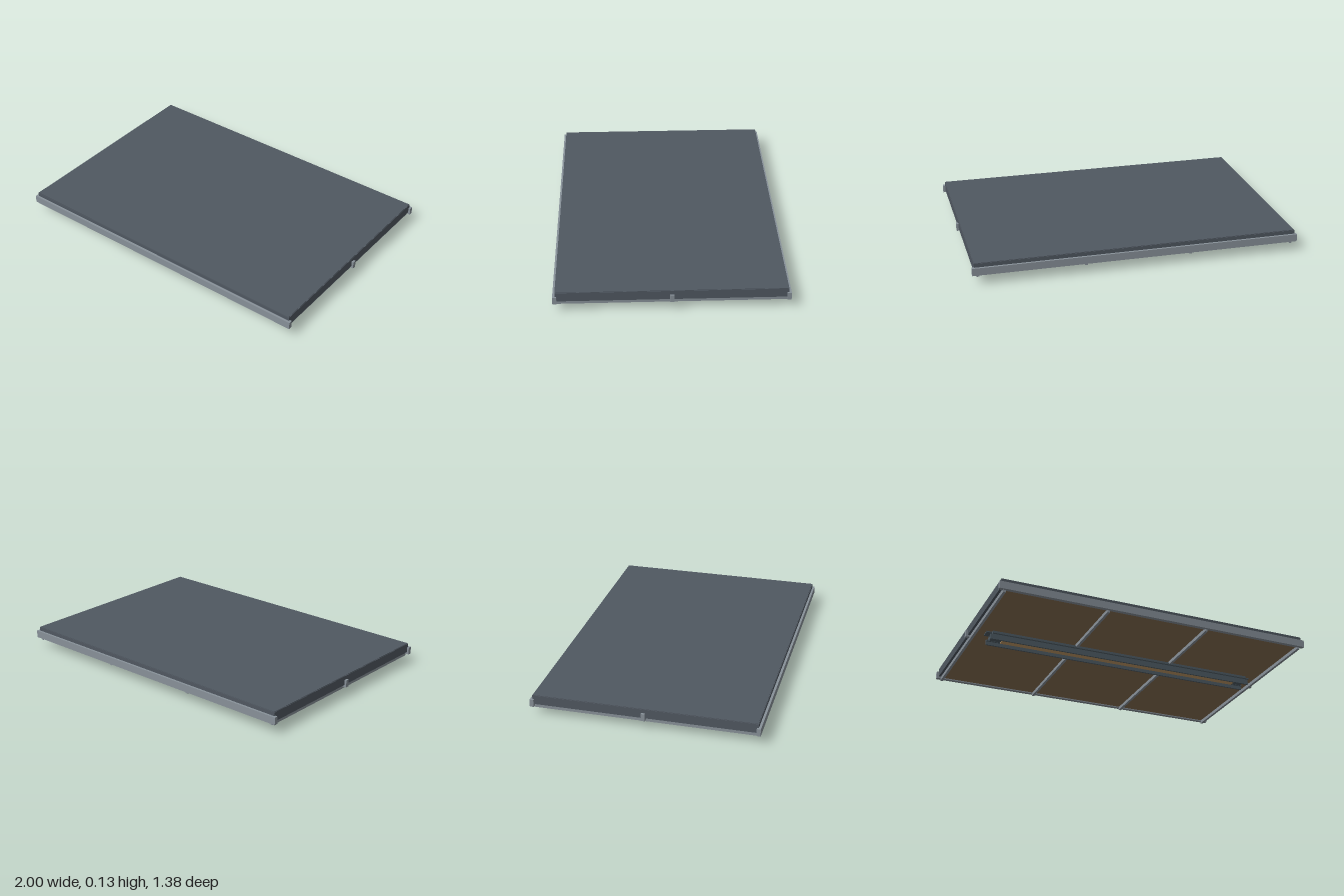
import * as THREE from 'three';

const material = (name, color) => {
  const m = new THREE.MeshStandardMaterial({ color });
  m.name = name;
  return m;
};

export function createModel() {
  const slate = material('dark slate', 0x505861);
  const steel = material('grey steel', 0x889199);
  const trayBlue = material('blue slate', 0x4e5b64);
  const brown = material('brown board', 0x876e52);
  const tan = material('tan strip', 0xc29a66);

  const model = new THREE.Group();
  model.name = 'deckPanel';

  // Box given by its limits on each axis
  const box = (name, mat, [x0, x1], [y0, y1], [z0, z1]) => {
    const mesh = new THREE.Mesh(new THREE.BoxGeometry(x1 - x0, y1 - y0, z1 - z0), mat);
    mesh.position.set((x0 + x1) / 2, (y0 + y1) / 2, (z0 + z1) / 2);
    mesh.name = name;
    model.add(mesh);
    return mesh;
  };

  // Slab with a slightly eased top edge, and the board set into its underside
  const w = 0.987, d = 0.674, ease = 0.003;
  box('slab', slate, [-w, w], [0.073, 0.129], [-d, d]);
  box('slabTop', slate, [-w + ease, w - ease], [0.129, 0.132], [-d + ease, d - ease]);
  box('underside', brown, [-0.965, 0.965], [0.067, 0.073], [-0.668, 0.668]);

  // Long edge rails and the middle clips on the short sides
  for (const s of [-1, 1]) {
    const rail = box('edgeRail', steel, [-1, 1], [0.06, 0.106], [0.664, 0.688]);
    rail.position.z *= s;
    const clip = box('sideClip', steel, [0.975, 1], [0.06, 0.106], [-0.012, 0.012]);
    clip.position.x *= s;
  }

  // Cross bars below the board
  for (const x of [-0.965, -0.322, 0.322, 0.965]) {
    box('crossBar', steel, [x - 0.008, x + 0.008], [0.046, 0.071], [-0.673, 0.673]);
  }

  // Tray: tapered section run along x, off centre towards the front
  const zc = 0.11;
  const section = new THREE.Shape([
    new THREE.Vector2(-0.05, 0.056), new THREE.Vector2(-0.05, 0.042),
    new THREE.Vector2(-0.037, 0.024), new THREE.Vector2(0.037, 0.024),
    new THREE.Vector2(0.05, 0.042), new THREE.Vector2(0.05, 0.056),
  ]);
  const trayGeometry = new THREE.ExtrudeGeometry(section, { depth: 1.74, bevelEnabled: false });
  trayGeometry.translate(0, 0, -0.87).rotateY(Math.PI / 2);
  const tray = new THREE.Mesh(trayGeometry, trayBlue);
  tray.name = 'tray';
  tray.position.z = zc;
  model.add(tray);
  box('trayFlange', trayBlue, [-0.905, 0.905], [0.05, 0.057], [zc - 0.03, zc + 0.03]);

  // Tray side walls with inward lips
  for (const s of [-1, 1]) {
    const wall = box('trayWall', trayBlue, [-0.885, 0.885], [0, 0.034], [-0.005, 0.005]);
    wall.position.z = zc + s * 0.046;
    const lip = box('trayLip', trayBlue, [-0.885, 0.885], [0.022, 0.028], [-0.006, 0.006]);
    lip.position.z = zc + s * 0.037;
  }

  // Strip hung just under the tray
  box('trayStrip', tan, [-0.8, 0.8], [0.014, 0.02], [zc - 0.026, zc + 0.026]);
  for (const x of [-0.7, 0, 0.7]) {
    box('stripHanger', trayBlue, [x - 0.01, x + 0.01], [0.019, 0.025], [zc - 0.01, zc + 0.01]);
  }

  return model;
}
